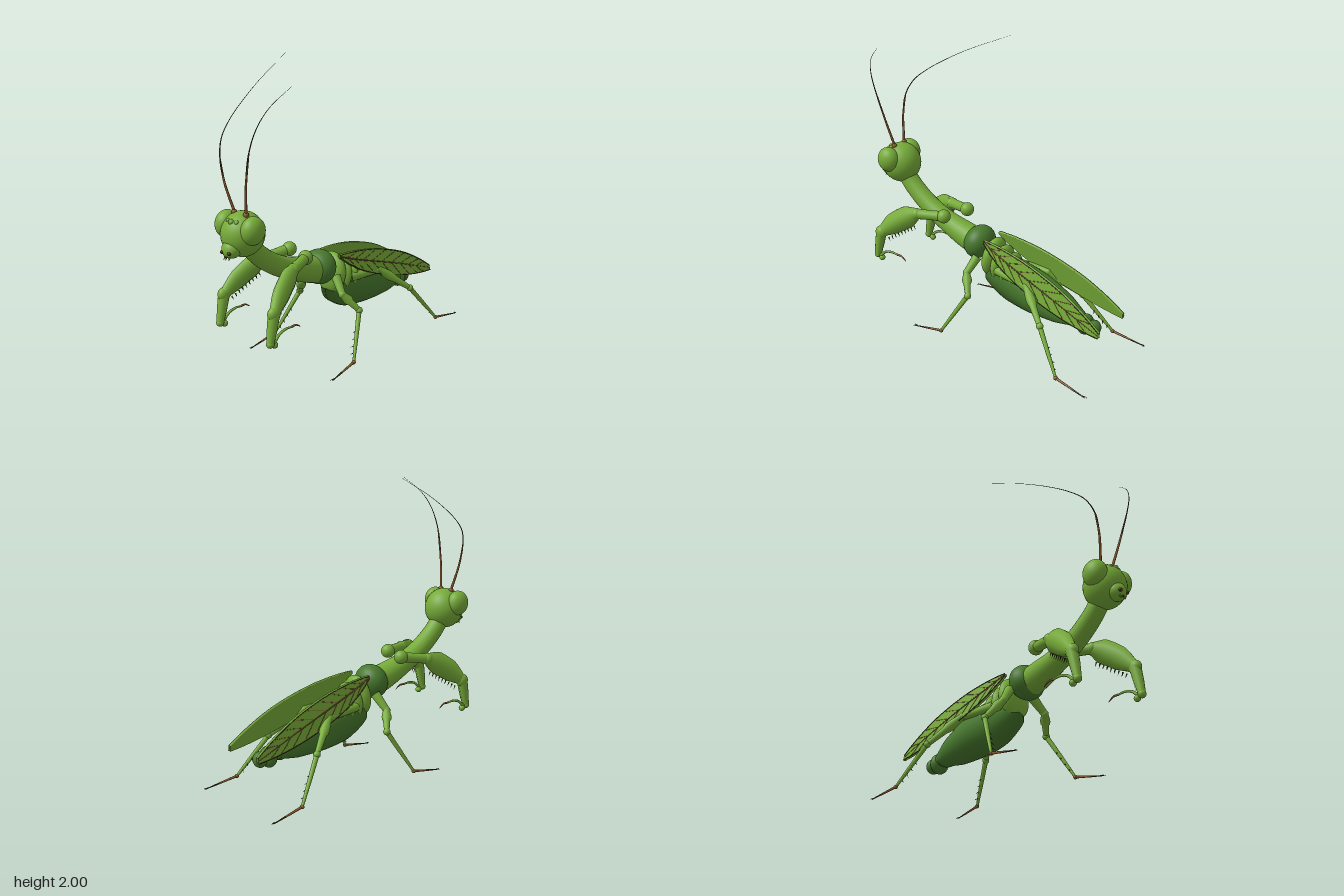
import * as THREE from 'three';

const mat = (name, color, side = THREE.FrontSide) => {
  const m = new THREE.MeshStandardMaterial({ color, side });
  m.name = name;
  return m;
};
const V = (p) => new THREE.Vector3(p[0], p[1], p[2]);

export function createModel() {
  const model = new THREE.Group();
  model.name = 'mantis';
  const leaf = mat('leafGreen', 0x76ab38);
  const wingGreen = mat('wingGreen', 0x76ab38, THREE.DoubleSide);
  const dark = mat('darkGreen', 0x47782d);
  const brown = mat('brown', 0x8a5a2b);
  const vein = mat('veinBrown', 0x7c5030);
  const bark = mat('darkBrown', 0x453018);

  const add = (parent, name, geo, m) => {
    const mesh = new THREE.Mesh(geo, m);
    mesh.name = name;
    parent.add(mesh);
    return mesh;
  };
  const part = (name, parent = model) => {
    const g = new THREE.Group();
    g.name = name;
    parent.add(g);
    return g;
  };
  const ball = (parent, name, p, r, m, tilt = 0) => {
    const mesh = add(parent, name, new THREE.SphereGeometry(1, 28, 20), m);
    mesh.position.copy(V(p));
    mesh.scale.copy(Array.isArray(r) ? V(r) : V([r, r, r]));
    mesh.rotation.z = tilt;
  };
  // Tapered tube through points; each radius is a number or [height, width]
  const limb = (parent, name, pts, radii, m, segs = 24, sides = 14) => {
    const curve = new THREE.CatmullRomCurve3(pts.map(V));
    const rad = new THREE.CatmullRomCurve3(
      radii.map((r) => (Array.isArray(r) ? V([r[0], r[1], 0]) : V([r, r, 0]))));
    const geo = new THREE.TubeGeometry(curve, segs, 1, sides);
    const pos = geo.attributes.position;
    for (let i = 0; i <= segs; i++) {
      const c = curve.getPointAt(i / segs);
      const r = rad.getPoint(curve.getUtoTmapping(i / segs));
      const h = Math.max(r.x, 0.0004), w = Math.max(r.y, 0.0004);
      for (let j = 0; j <= sides; j++) {
        const k = i * (sides + 1) + j;
        pos.setXYZ(k, c.x + (pos.getX(k) - c.x) * h, c.y + (pos.getY(k) - c.y) * h,
          c.z + (pos.getZ(k) - c.z) * w);
      }
    }
    add(parent, name, geo, m);
  };
  // Small cone from a point along a direction
  const spike = (parent, name, p, dir, len, r, m) => {
    const geo = new THREE.ConeGeometry(r, len, 6).translate(0, len / 2, 0);
    const mesh = add(parent, name, geo, m);
    mesh.position.copy(V(p));
    mesh.quaternion.setFromUnitVectors(new THREE.Vector3(0, 1, 0), V(dir).normalize());
  };
  const mix = (a, b, t) => a.map((v, i) => v + (b[i] - v) * t);

  // Head and mouth
  const head = part('head');
  ball(head, 'skull', [-0.832, 1.028, 0], [0.138, 0.142, 0.135], leaf);
  ball(head, 'muzzle', [-0.925, 0.96, 0], [0.066, 0.058, 0.065], leaf, 0.6);
  ball(head, 'forehead', [-0.925, 1.125, 0], 0.018, leaf);
  spike(head, 'mouthTip', [-0.965, 0.93, 0], [-0.5, -1, 0], 0.035, 0.012, bark);

  // Neck, thorax and abdomen
  const body = part('body');
  limb(body, 'neck', [[-0.82, 0.99, 0], [-0.73, 0.88, 0], [-0.6, 0.775, 0], [-0.45, 0.695, 0],
    [-0.25, 0.625, 0], [-0.12, 0.59, 0]], [0.062, 0.064, 0.067, 0.072, 0.09, 0.095], leaf, 36, 24);
  ball(body, 'thorax', [-0.135, 0.61, 0], [0.1, 0.118, 0.125], dark, -0.25);
  for (let i = 0; i < 4; i++) {
    ball(body, 'backSegment', [-0.01 + i * 0.07, 0.535 - i * 0.025, 0],
      [0.062 - i * 0.005, 0.142 - i * 0.012, 0.118 - i * 0.002], leaf, -0.15);
  }
  limb(body, 'abdomen', [[-0.06, 0.47, 0], [-0.01, 0.445, 0], [0.15, 0.41, 0], [0.33, 0.375, 0],
    [0.55, 0.325, 0], [0.68, 0.295, 0], [0.77, 0.275, 0]],
  [0.001, [0.11, 0.085], [0.165, 0.11], [0.153, 0.13], [0.105, 0.112], [0.055, 0.07], 0.03], dark, 48, 32);
  ball(body, 'tailSegment', [0.66, 0.295, 0], [0.05, 0.06, 0.075], dark);
  ball(body, 'tailSegment', [0.738, 0.272, 0], [0.05, 0.07, 0.068], dark);
  ball(body, 'tailTip', [0.803, 0.268, 0], [0.047, 0.052, 0.05], dark);

  // Wing outline curves, shared by membrane, rim and veins
  const outline = (pts) => new THREE.SplineCurve(pts.map((p) => new THREE.Vector2(p[0], p[1])));
  const upper = outline([[-0.03, 0.68], [0.13, 0.668], [0.35, 0.625], [0.6, 0.54], [0.8, 0.435], [0.93, 0.345]]);
  const lower = outline([[-0.03, 0.665], [0.1, 0.565], [0.3, 0.468], [0.53, 0.39], [0.76, 0.335], [0.93, 0.312]]);
  const wingPoint = (u, v, s, out = 0) => {
    const t = upper.getPoint(u), b = lower.getPoint(u);
    const x = t.x + (b.x - t.x) * v, y = t.y + (b.y - t.y) * v;
    return [x, y, s * (0.09 + 0.066 * x + 0.2 * (t.y - y) + out)];
  };
  const membrane = (s, out) => {
    const N = 28, M = 6, pos = [], idx = [];
    for (let i = 0; i <= N; i++) for (let j = 0; j <= M; j++) pos.push(...wingPoint(i / N, j / M, s, out));
    for (let i = 0; i < N; i++) for (let j = 0; j < M; j++) {
      const a = i * (M + 1) + j, b = a + M + 1;
      if (s > 0) idx.push(a, a + 1, b, b, a + 1, b + 1);
      else idx.push(a, b, a + 1, b, b + 1, a + 1);
    }
    const geo = new THREE.BufferGeometry();
    geo.setAttribute('position', new THREE.Float32BufferAttribute(pos, 3));
    geo.setIndex(idx);
    geo.computeVertexNormals();
    return geo;
  };
  const steps = (f) => Array.from({ length: 9 }, (_, i) => f(i / 8));

  for (const s of [1, -1]) {
    const side = s > 0 ? 'left' : 'right';

    // Eyes, mouth parts and antennae
    ball(head, side + 'Eye', [-0.855, 1.075, s * 0.11], [0.083, 0.088, 0.068], leaf);
    ball(head, side + 'Ocellus', [-0.915, 1.125, s * 0.035], 0.015, leaf);
    ball(head, side + 'Palp', [-0.98, 0.945, s * 0.03], 0.012, bark);
    spike(head, side + 'Mandible', [-0.96, 0.925, s * 0.02], [-0.6, -1, 0], 0.035, 0.012, leaf);
    ball(head, side + 'AntennaSocket', [-0.85, 1.16, s * 0.05], 0.018, brown);
    const feeler = s > 0
      ? [[-0.85, 1.165, 0.05], [-0.885, 1.345, 0.09], [-0.91, 1.56, 0.145], [-0.895, 1.72, 0.2],
        [-0.84, 1.835, 0.25], [-0.72, 1.945, 0.31]]
      : [[-0.85, 1.165, -0.05], [-0.885, 1.345, -0.09], [-0.885, 1.48, -0.12], [-0.84, 1.585, -0.155],
        [-0.74, 1.675, -0.19], [-0.47, 1.835, -0.245], [-0.1, 2.0, -0.31]];
    limb(head, side + 'AntennaBase', feeler.slice(0, 3), [0.009, 0.007, 0.0045], brown, 16, 8);
    limb(head, side + 'Antenna', feeler, feeler.map((_, i) => 0.006 - 0.0054 * i / (feeler.length - 1)), bark, 50, 8);

    // Wings: outer cover, inner wing, green edge, thin rim and veins
    const wing = part(side + 'Wing');
    add(wing, 'outerWing', membrane(s, 0.006), wingGreen);
    add(wing, 'innerWing', membrane(s, -0.014), wingGreen);
    for (const v of [0, 1]) {
      limb(wing, 'wingEdge', steps((u) => wingPoint(u, v, s, -0.004)), [[0.005, 0.011], [0.005, 0.011]], leaf, 32, 8);
      limb(wing, 'wingRim', steps((u) => wingPoint(u, v, s, 0.007)), [0.003, 0.003], bark, 32, 6);
    }
    limb(wing, 'midVein', steps((u) => wingPoint(u, 0.5, s, 0.006)), [0.0055, 0.002], vein, 32, 6);
    for (let i = 0; i < 9; i++) for (const v of [0.05, 0.95]) {
      const u = 0.1 + i * 0.085;
      limb(wing, 'sideVein', [wingPoint(u, 0.5, s, 0.006), wingPoint(u + 0.05, (v + 0.5) / 2, s, 0.006),
        wingPoint(u + 0.1, v, s, 0.006)], [0.0022, 0.0022], vein, 6, 5);
    }

    // Grasping foreleg
    const arm = part(side + 'Foreleg');
    const dx = s > 0 ? 0 : 0.055, dy = s > 0 ? 0 : -0.02;
    const P = (x, y, z) => [x + dx, y + dy, s * z];
    const hip = [-0.375 + dx, 0.765, s * 0.095], elbow = P(-0.565, 0.755, 0.16);
    const knee = P(-0.83, 0.57, 0.245), wrist = P(-0.87, 0.385, 0.247);
    ball(arm, 'shoulder', hip, 0.048, leaf);
    limb(arm, 'upperArm', [hip, mix(hip, elbow, 0.5), elbow], [0.036, 0.034, 0.036], leaf);
    ball(arm, 'elbow', elbow, 0.04, leaf);
    limb(arm, 'forearm', [elbow, P(-0.64, 0.715, 0.185), P(-0.73, 0.655, 0.213), knee],
      [[0.045, 0.03], [0.08, 0.034], [0.077, 0.034], [0.036, 0.03]], leaf);
    ball(arm, 'knee', knee, [0.046, 0.046, 0.036], leaf);
    limb(arm, 'shin', [knee, mix(knee, wrist, 0.5), wrist], [0.038, 0.033, 0.024], leaf);
    ball(arm, 'wrist', wrist, 0.026, leaf);
    ball(arm, 'wristTip', P(-0.832, 0.368, 0.247), 0.022, leaf);
    for (let i = 0; i < 9; i++) {
      const p = mix(P(-0.585, 0.66, 0.17), P(-0.775, 0.54, 0.23), i / 8);
      spike(arm, 'forearmSpine', p, [0.5, -1, 0], 0.032, 0.006, i % 2 ? bark : leaf);
      if (i < 6) spike(arm, 'shinSpine', mix(knee, wrist, 0.25 + i * 0.12), [1, -0.3, 0], 0.048, 0.005, leaf);
    }
    limb(arm, 'foot', [P(-0.845, 0.38, 0.25), P(-0.79, 0.425, 0.25), P(-0.73, 0.44, 0.25),
      P(-0.68, 0.435, 0.25)], [0.011, 0.009, 0.008, 0.006], leaf, 16, 8);
    limb(arm, 'footTip', [P(-0.685, 0.436, 0.25), P(-0.64, 0.435, 0.25), P(-0.6, 0.41, 0.25)],
      [0.008, 0.006, 0.002], brown, 10, 8);

    // Walking legs: root, joint, knee, ankle, toe
    const walkers = {
      MiddleLeg: [[-0.08, 0.55, 0.1], [-0.11, 0.45, 0.18], [-0.035, 0.335, 0.265], [-0.2, 0.045, 0.355], [-0.42, 0.007, 0.365]],
      HindLeg: [[0.08, 0.49, 0.085], [0.35, 0.478, 0.128], [0.55, 0.31, 0.255], [0.745, 0.045, 0.35], [0.97, 0.007, 0.37]],
    };
    for (const [name, raw] of Object.entries(walkers)) {
      const leg = part(side + name);
      const [root, joint, kn, ankle, toe] = raw.map((p) => [p[0], p[1], s * p[2]]);
      const fwd = Math.sign(toe[0] - ankle[0]);
      limb(leg, 'hip', [root, joint], [0.033, 0.024], leaf, 10);
      ball(leg, 'hipJoint', joint, 0.026, leaf);
      limb(leg, 'thigh', [joint, mix(joint, kn, 0.5), kn], [0.024, 0.024, 0.017], leaf, 12);
      ball(leg, 'knee', kn, 0.024, leaf);
      limb(leg, 'shin', [kn, mix(kn, ankle, 0.5), ankle], [0.017, 0.014, 0.009], leaf, 12);
      ball(leg, 'ankle', ankle, 0.014, brown);
      const mid = mix(ankle, toe, 0.6);
      limb(leg, 'foot', [ankle, mid], [0.009, 0.006], brown, 8, 8);
      limb(leg, 'toe', [mid, toe], [0.006, 0.003], bark, 8, 8);
      for (let i = 0; i < 4; i++) {
        spike(leg, 'shinSpine', mix(kn, ankle, 0.4 + i * 0.14), [fwd * 0.4, -0.6, -s], 0.038, 0.006, bark);
      }
      for (const k of [-1, 0, 1]) {
        spike(leg, 'claw', mix(ankle, toe, 0.93), [fwd, -0.06, k * 0.3], 0.04, 0.004, bark);
      }
    }
  }
  return model;
}
